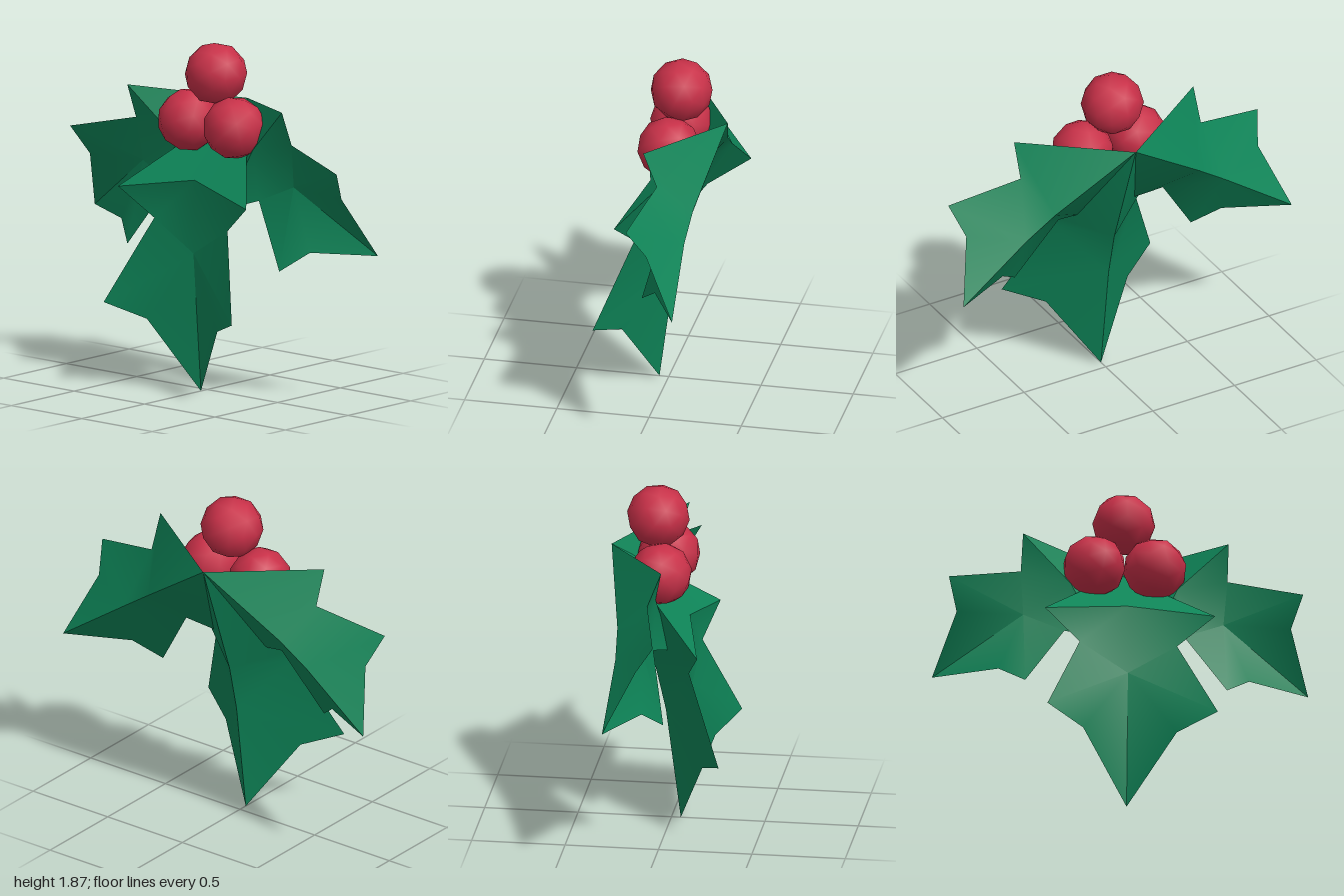
import * as THREE from 'three';
import { toCreasedNormals } from 'three/addons/utils/BufferGeometryUtils.js';

// Where the three leaves meet
const ROOT = new THREE.Vector3(0, 1.53, -0.32);

// One thick spiky leaf hanging down from its root, built as a mirrored half
function leafGeometry() {
  const p = {
    root: [0, 1.53, -0.32], tip: [0, 0, 0.05],
    // outline of one half
    wing1: [0.455, 1.07, 0.2], notch1: [0.26, 0.915, 0.13],
    wing2: [0.455, 0.46, 0.315], notch2: [0.25, 0.38, 0.2],
    // front and back points of the midrib
    front1: [0, 1.15, 0.1], front2: [0, 0.755, 0.11],
    back1: [0, 0.87, -0.09], back2: [0, 0.61, -0.03],
  };
  // counter-clockwise as seen from outside, for the +x half
  const faces = [
    'root front1 wing1', 'front1 notch1 wing1', 'front1 front2 notch1',
    'front2 wing2 notch1', 'front2 notch2 wing2', 'front2 tip notch2',
    'root wing1 back1', 'wing1 notch1 back1', 'back1 notch1 back2',
    'notch1 wing2 back2', 'wing2 notch2 back2', 'notch2 tip back2',
  ];
  const positions = [];
  for (const side of [1, -1]) {
    for (const face of faces) {
      const names = face.split(' ');
      if (side < 0) names.reverse();
      for (const n of names) {
        const [x, y, z] = p[n];
        positions.push(x * side, y - ROOT.y, z - ROOT.z);
      }
    }
  }
  const g = new THREE.BufferGeometry();
  g.setAttribute('position', new THREE.Float32BufferAttribute(positions, 3));
  return toCreasedNormals(g, 0.6);
}

export function createModel() {
  const group = new THREE.Group();
  group.name = 'hollySprig';

  const leafGreen = new THREE.MeshStandardMaterial({ color: 0x0e8558 });
  leafGreen.name = 'leafGreen';
  const berryRed = new THREE.MeshStandardMaterial({ color: 0xc83048 });
  berryRed.name = 'berryRed';

  // Leaves: a large one in the middle, two smaller ones fanned out
  const leafGeo = leafGeometry();
  const addLeaf = (name, scale, tilt, fan) => {
    const leaf = new THREE.Mesh(leafGeo, leafGreen);
    leaf.name = name;
    leaf.position.copy(ROOT);
    leaf.rotation.set(tilt, 0, fan, 'ZXY');
    leaf.scale.setScalar(scale);
    group.add(leaf);
  };
  addLeaf('middleLeaf', 1, 0, 0);
  addLeaf('leftLeaf', 0.781, 0.166, 0.961);
  addLeaf('rightLeaf', 0.781, 0.166, -0.961);

  // Berries
  const berryGeo = new THREE.IcosahedronGeometry(0.168, 1);
  const berries = [
    ['topBerry', 0, 1.702, -0.07],
    ['leftBerry', 0.162, 1.435, -0.035],
    ['rightBerry', -0.162, 1.435, -0.035],
  ];
  for (const [name, x, y, z] of berries) {
    const berry = new THREE.Mesh(berryGeo, berryRed);
    berry.name = name;
    berry.position.set(x, y, z);
    berry.rotation.set(0.1, x * 2, x);
    group.add(berry);
  }
  return group;
}
